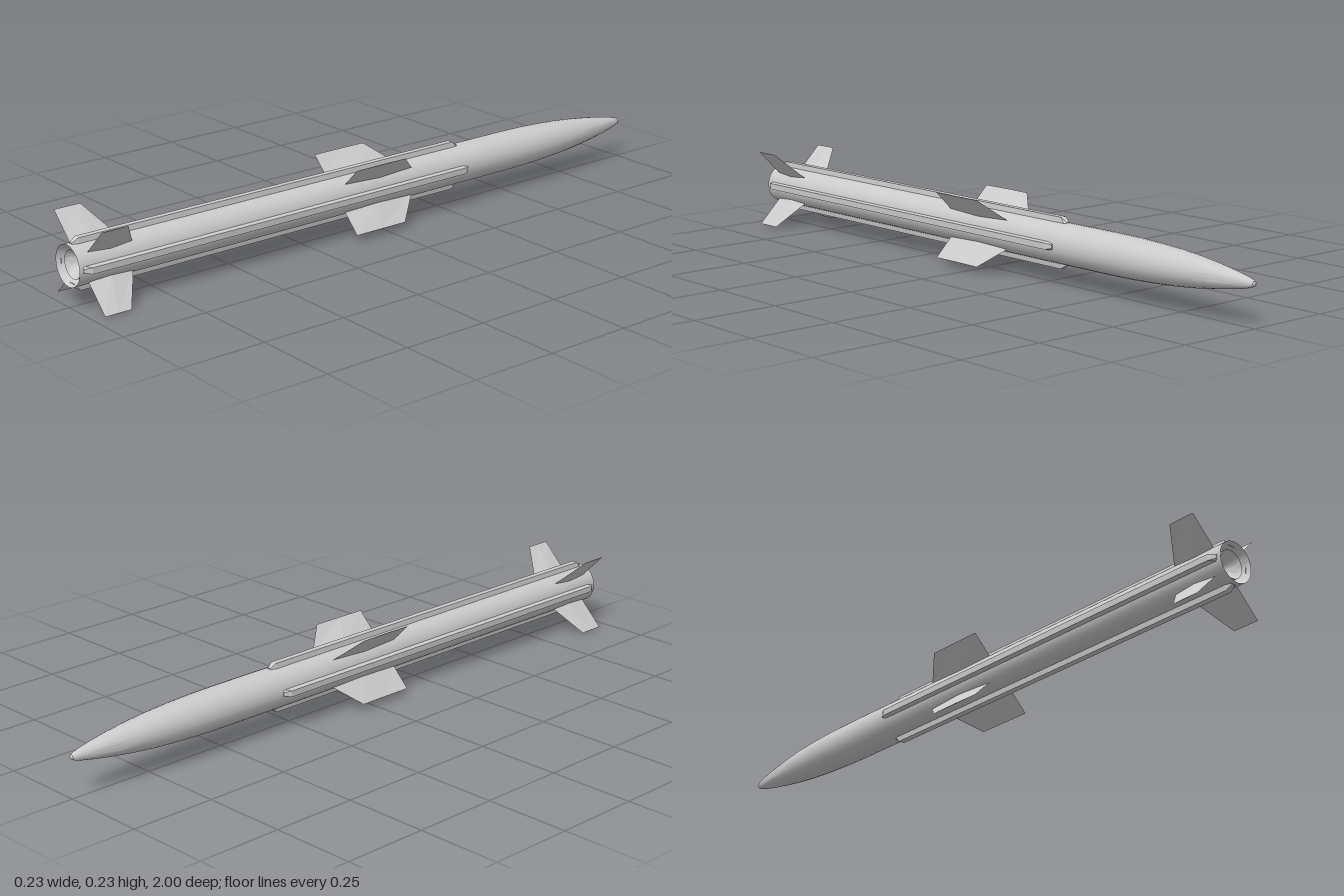
import * as THREE from 'three';
import { toCreasedNormals } from 'three/addons/utils/BufferGeometryUtils.js';

const AXIS_Y = 0.117;
const material = new THREE.MeshStandardMaterial({ color: 0xcccccc });

// Closed loft through equal-length loops of points, capped at both ends
function loft(loops) {
  const n = loops[0].length, index = [];
  for (let l = 0; l < loops.length - 1; l++) {
    for (let i = 0; i < n; i++) {
      const a = l * n + i, b = l * n + (i + 1) % n;
      index.push(a, b, b + n, a, b + n, a + n);
    }
  }
  const top = (loops.length - 1) * n;
  for (let i = 1; i < n - 1; i++) index.push(0, i + 1, i, top, top + i, top + i + 1);
  const geo = new THREE.BufferGeometry();
  geo.setAttribute('position', new THREE.Float32BufferAttribute(loops.flat(2), 3));
  geo.setIndex(index);
  const flat = geo.toNonIndexed();
  flat.computeVertexNormals();
  return flat;
}

// Diamond section at height r, from leading edge to trailing edge
const diamond = (r, lead, trail, t) => {
  const mid = (lead + trail) / 2;
  return [[0, r, trail], [t, r, mid], [0, r, lead], [-t, r, mid]];
};

// Four copies of a part around the long axis
function ring(name, geometry, startAngle) {
  const group = new THREE.Group();
  group.name = name + 's';
  for (let i = 0; i < 4; i++) {
    const mesh = new THREE.Mesh(geometry, material);
    mesh.name = name;
    mesh.rotation.z = startAngle + i * Math.PI / 2;
    group.add(mesh);
  }
  return group;
}

export function createModel() {
  const model = new THREE.Group();
  model.name = 'missile';
  const assembly = new THREE.Group();
  assembly.name = 'airframe';
  assembly.position.y = AXIS_Y;
  model.add(assembly);

  // Body, pointed nose and recessed tail, as [radius, distance forward]
  const profile = [
    [0.058, -1], [0.058, 0.5], [0.057, 0.58], [0.054, 0.66], [0.049, 0.74],
    [0.042, 0.81], [0.034, 0.87], [0.025, 0.925], [0.017, 0.965], [0.012, 0.985],
    [0.007, 0.996], [0, 1],
  ];
  const tail = [[0.04, -0.96], [0.058, -1]];
  const nozzle = [[0, -0.94], [0.031, -0.97], [0.04, -0.985], [0.04, -0.95]];
  for (const [name, points] of [['body', profile], ['tailRecess', tail], ['nozzle', nozzle]]) {
    const geo = new THREE.LatheGeometry(points.map(p => new THREE.Vector2(...p)), 24);
    geo.rotateX(-Math.PI / 2);
    const mesh = new THREE.Mesh(toCreasedNormals(geo, 0.5), material);
    mesh.name = name;
    assembly.add(mesh);
  }

  // Long raised strakes with sloped ends
  const strakeSection = (z, h, w) => [[-0.012, 0.05, z], [0.012, 0.05, z], [w, h, z], [-w, h, z]];
  const strake = loft([
    strakeSection(-0.32, 0.06, 0.005), strakeSection(-0.302, 0.072, 0.009),
    strakeSection(0.97, 0.072, 0.009), strakeSection(0.988, 0.06, 0.005),
  ]);
  assembly.add(ring('strake', strake, 0));

  // Swept wings amidships and smaller fins at the tail
  const wing = loft([diamond(0.05, -0.125, 0.125, 0.006), diamond(0.134, -0.05, 0.125, 0.001)]);
  const fin = loft([diamond(0.05, 0.825, 0.965, 0.006), diamond(0.161, 0.885, 0.965, 0.001)]);
  assembly.add(ring('wing', wing, Math.PI / 4), ring('tailFin', fin, Math.PI / 4));

  return model;
}
